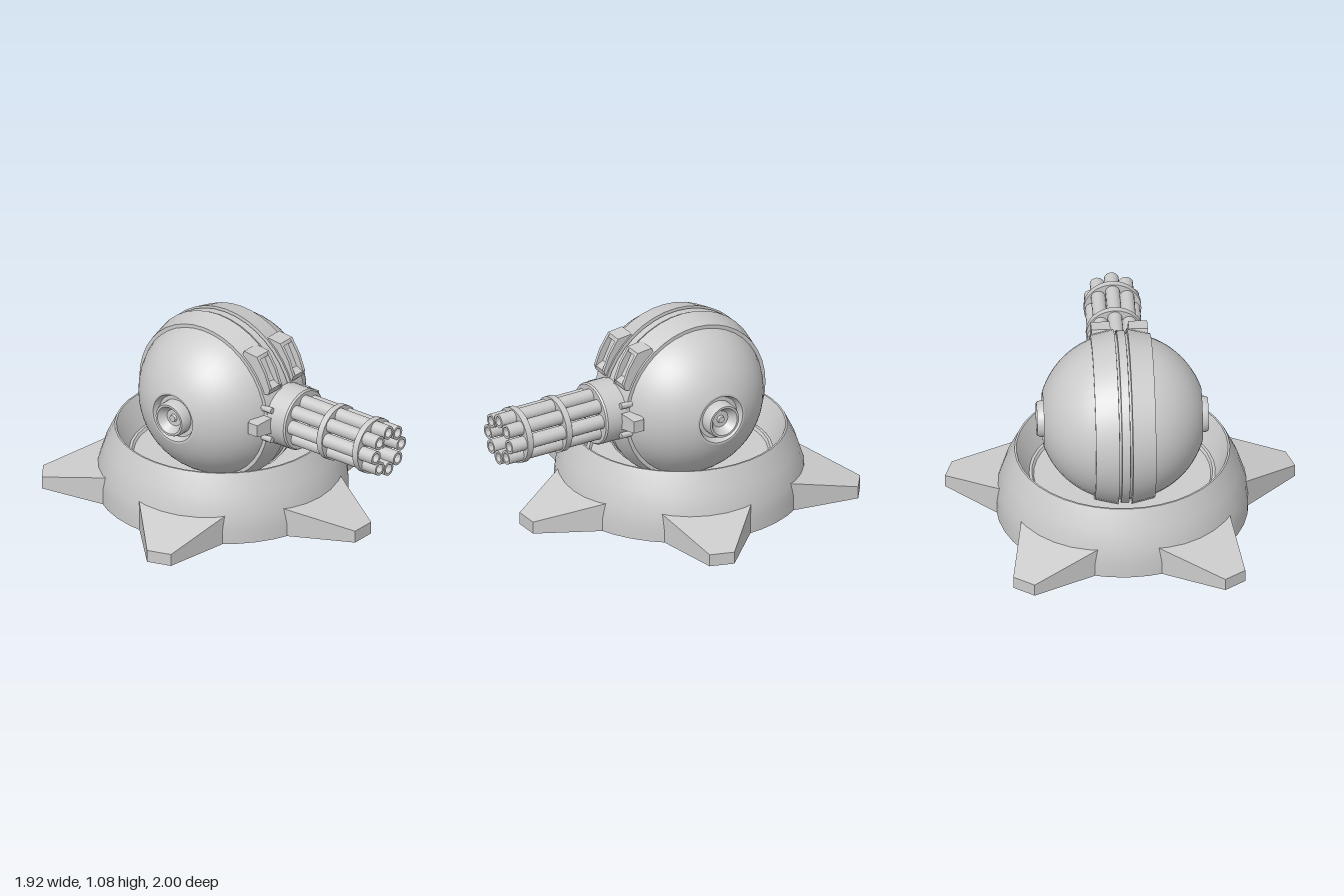
import * as THREE from 'three';
import { toCreasedNormals } from 'three/addons/utils/BufferGeometryUtils.js';

const mat = new THREE.MeshStandardMaterial({ color: 0xcccccc });
const CY = 0.595, CZ = -0.165; // centre of the ball

function part(name, geo, parent, crease = 0.5) {
  const mesh = new THREE.Mesh(toCreasedNormals(geo, crease), mat);
  mesh.name = name;
  parent.add(mesh);
  return mesh;
}

// profile as [radius, height] pairs
function lathe(points, segments) {
  return new THREE.LatheGeometry(points.map(p => new THREE.Vector2(p[0], p[1])), segments);
}

// hollow tube along z
function tube(outer, inner, z0, z1, segments) {
  return lathe([[inner, z0], [outer, z0], [outer, z1], [inner, z1], [inner, z0]], segments)
    .rotateX(Math.PI / 2);
}

// side profile of [z, y] pairs, extruded across x from x0 to x1
function sideExtrude(points, x0, x1) {
  const shape = new THREE.Shape(points.map(p => new THREE.Vector2(-p[0], p[1])));
  return new THREE.ExtrudeGeometry(shape, { depth: x1 - x0, bevelEnabled: false })
    .rotateY(Math.PI / 2).translate(x0, 0, 0);
}

// block whose corners come from two quads (rings of four points)
function loft(a, b) {
  const geo = new THREE.BufferGeometry();
  geo.setAttribute('position', new THREE.Float32BufferAttribute([...a, ...b].flat(), 3));
  const index = [0, 2, 1, 0, 3, 2, 4, 5, 6, 4, 6, 7];
  for (let i = 0; i < 4; i++) {
    const j = (i + 1) % 4;
    index.push(i, j, j + 4, i, j + 4, i + 4);
  }
  geo.setIndex(index);
  return geo;
}

// quad facing +z, counter-clockwise
const quad = (w, y0, y1, z) => [[-w, y0, z], [w, y0, z], [w, y1, z], [-w, y1, z]];

function buildBase() {
  const base = new THREE.Group();
  base.name = 'base';
  base.position.z = CZ;
  part('bowl', lathe([
    [0, 0.005], [0.6, 0.005], [0.605, 0], [0.69, 0], [0.69, 0.08], [0.68, 0.16],
    [0.643, 0.275], [0.59, 0.385], [0.58, 0.385], [0.51, 0.23], [0.495, 0.23],
    [0.485, 0.215], [0, 0.215]], 40), base);
  // five wedge feet
  for (let i = 0; i < 5; i++) {
    const foot = part('foot', loft(quad(0.29, 0, 0.187, 0.55), quad(0.07, 0, 0.07, 0.985)), base, 0.1);
    foot.rotation.y = i * Math.PI * 2 / 5;
  }
  return base;
}

function buildBall() {
  const ball = new THREE.Group();
  ball.name = 'ball';
  ball.position.set(0, CY, CZ);
  // half profile from the centre strip outwards: strip, groove, raised band, sphere, flat end
  const half = [[0.472, 0.022], [0.455, 0.024], [0.455, 0.035], [0.48, 0.037], [0.45, 0.165]];
  const R = 0.46, t0 = Math.asin(0.165 / R), t1 = Math.asin(0.435 / R);
  for (let i = 0; i <= 12; i++) {
    const t = t0 + (t1 - t0) * i / 12;
    half.push([R * Math.cos(t), R * Math.sin(t)]);
  }
  half.push([0.138, 0.435], [0.122, 0.4], [0, 0.4]);
  const profile = [...half.map(p => [p[0], -p[1]]).reverse(), ...half];
  part('shell', lathe(profile, 40).rotateZ(-Math.PI / 2), ball, 0.35);
  // dished pivots on both sides
  for (const turn of [0, Math.PI]) {
    const hub = part('pivot', lathe([
      [0.1, 0.39], [0.1, 0.45], [0.092, 0.47], [0.08, 0.47], [0.048, 0.425],
      [0.022, 0.425], [0.018, 0.44], [0, 0.44]], 28).rotateZ(-Math.PI / 2), ball);
    hub.rotation.y = turn;
  }
  return ball;
}

function buildLamps() {
  const lamps = new THREE.Group();
  lamps.name = 'lamps';
  const cheek = [[0.08, 0.9], [0.24, 0.76], [0.28, 0.77], [0.29, 0.8], [0.255, 0.89], [0.2, 0.975], [0.11, 0.985]];
  // recessed front between top and bottom lips
  const core = [[0.08, 0.9], [0.24, 0.76], [0.28, 0.77], [0.288, 0.8], [0.245, 0.82], [0.185, 0.94],
    [0.208, 0.955], [0.2, 0.975], [0.11, 0.985]];
  for (const x of [-0.155, 0.05]) {
    part('lampCore', sideExtrude(core, x + 0.018, x + 0.087), lamps);
    part('lampCheek', sideExtrude(cheek, x, x + 0.018), lamps);
    part('lampCheek', sideExtrude(cheek, x + 0.087, x + 0.105), lamps);
  }
  return lamps;
}

function buildGun() {
  const gun = new THREE.Group();
  gun.name = 'gun';
  gun.position.y = CY;
  part('drum', lathe([
    [0.065, 0.2], [0.175, 0.2], [0.175, 0.4], [0.168, 0.41], [0.065, 0.41], [0.065, 0.2]], 32)
    .rotateX(Math.PI / 2), gun);
  // ring of eight barrels
  for (let i = 0; i < 8; i++) {
    const a = i * Math.PI / 4;
    const barrel = part('barrel', tube(0.04, 0.026, 0.38, 1, 16), gun, 0.6);
    barrel.position.set(0.111 * Math.sin(a), 0.111 * Math.cos(a), 0);
  }
  for (const z of [0.62, 0.87]) part('barrelClamp', tube(0.158, 0.075, z, z + 0.036, 32), gun);
  // side brackets with small studs
  for (const s of [-1, 1]) {
    const bracket = part('bracket', loft(quad(0.055, -0.05, 0.05, 0.14), quad(0.032, -0.035, 0.035, 0.27)), gun, 0.1);
    bracket.rotation.y = s * Math.PI / 2;
    bracket.position.z = 0.262;
    for (const y of [-0.09, 0.09]) {
      const stud = part('stud', new THREE.CylinderGeometry(0.017, 0.017, 0.1, 10).rotateX(Math.PI / 2), gun, 0.8);
      stud.position.set(s * 0.163, y, 0.265);
    }
  }
  return gun;
}

export function createModel() {
  const model = new THREE.Group();
  model.name = 'turret';
  model.add(buildBase(), buildBall(), buildLamps(), buildGun());
  return model;
}
